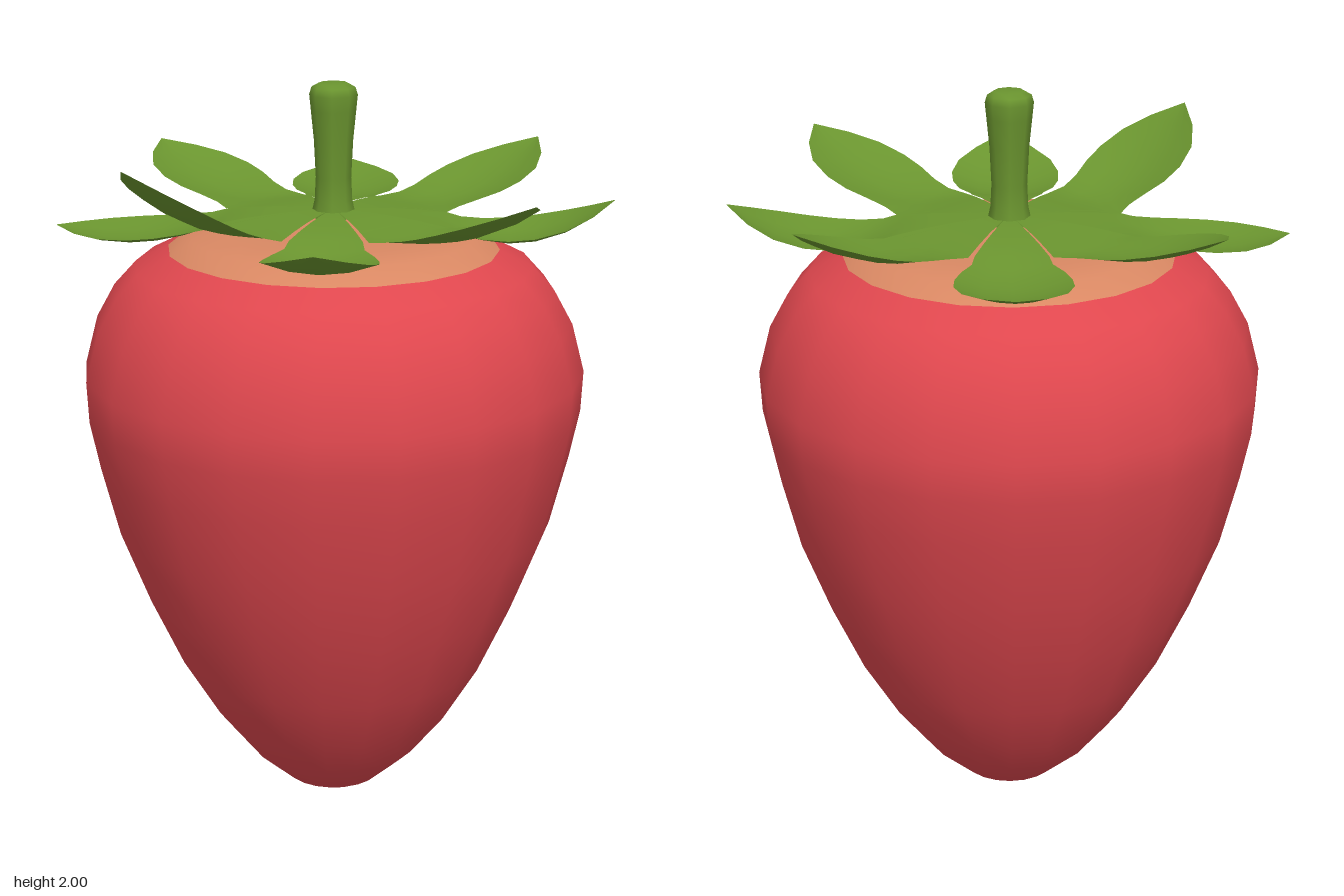
import * as THREE from 'three';

const paint = (name, color, extra = {}) => {
  const m = new THREE.MeshStandardMaterial({ color, ...extra });
  m.name = name;
  return m;
};

// Round part from a [radius, height] profile, listed bottom to top
function turned(name, profile, sides, material) {
  const points = profile.map(([r, y]) => new THREE.Vector2(r, y));
  const mesh = new THREE.Mesh(new THREE.LatheGeometry(points, sides), material);
  mesh.name = name;
  return mesh;
}

// Leaf outline: fraction along the free part, then half width
const OUTLINE = [[0, 0], [0.12, 0.11], [0.25, 0.13], [0.4, 0.147], [0.55, 0.15], [0.72, 0.13], [0.87, 0.078], [1, 0]];
const ROOT = 0.28;

// One sepal: a wedge from the stem that widens into a curled, cupped leaf
function sepalGeometry({ angle, length, mid, tip, base }) {
  const rows = [0, 0.25, 0.5, 0.75].map(k => {
    const u = ROOT * k;
    return { u, w: base * k, y: 1.665 - 0.025 * k * k, cup: 0 };
  });
  for (const [t, width] of OUTLINE) {
    const w = t === 0 ? base : t < 0.2 ? (base + width) / 2 : width;
    // quadratic through root, middle and tip heights
    const y = 1.64 * (1 - t) * (1 - 2 * t) + mid * 4 * t * (1 - t) + tip * t * (2 * t - 1);
    rows.push({ u: ROOT + t * (length - ROOT), w, y, cup: 0.03 * Math.sin(Math.PI * t) });
  }
  const a = THREE.MathUtils.degToRad(angle), c = Math.cos(a), s = Math.sin(a);
  const position = [], index = [], n = 5;
  rows.forEach(({ u, w, y, cup }, i) => {
    for (let j = 0; j < n; j++) {
      const k = j / (n - 1) * 2 - 1, v = w * k;
      position.push(u * c - v * s, y + cup * k * k, u * s + v * c);
      if (i && j) {
        const p = (i - 1) * n + j - 1, q = p + n;
        index.push(p, p + 1, q, p + 1, q + 1, q);
      }
    }
  });
  const g = new THREE.BufferGeometry();
  g.setAttribute('position', new THREE.Float32BufferAttribute(position, 3));
  g.setIndex(index);
  g.computeVertexNormals();
  return g;
}

export function createModel() {
  const group = new THREE.Group();
  group.name = 'strawberry';
  const red = paint('fruitRed', 0xdf474e);
  const pale = paint('paleShoulder', 0xd98863);
  const green = paint('leafGreen', 0x6a942f, { side: THREE.DoubleSide });

  // Fruit and its pale top
  const body = turned('fruitBody', [
    [0, 0], [0.06, 0.012], [0.13, 0.045], [0.235, 0.135], [0.33, 0.25], [0.43, 0.41],
    [0.52, 0.6], [0.6, 0.8], [0.65, 0.99], [0.678, 1.12], [0.684, 1.23], [0.65, 1.36],
    [0.6, 1.45], [0.54, 1.515], [0.45, 1.56]], 20, red);
  const shoulder = turned('paleShoulder', [
    [0.45, 1.56], [0.39, 1.597], [0.28, 1.61], [0, 1.6]], 20, pale);
  body.scale.x = shoulder.scale.x = 0.985;

  // Stem
  const stem = turned('stem', [
    [0.06, 1.645], [0.05, 1.69], [0.047, 1.75], [0.052, 1.85], [0.06, 1.93],
    [0.064, 1.97], [0.058, 1.99], [0.04, 2], [0, 2]], 8, green);
  group.add(body, shoulder, stem);

  // Ring of eight sepals, angles from left (+x) towards the front (+z)
  const calyx = new THREE.Group();
  calyx.name = 'calyx';
  [
    { angle: 0, length: 0.745, mid: 1.59, tip: 1.7, base: 0.113 },
    { angle: 43, length: 0.73, mid: 1.665, tip: 1.785, base: 0.137 },
    { angle: 90, length: 0.705, mid: 1.605, tip: 1.7, base: 0.095 },
    { angle: 137.5, length: 0.675, mid: 1.69, tip: 1.85, base: 0.137 },
    { angle: 180, length: 0.745, mid: 1.575, tip: 1.61, base: 0.113 },
    { angle: 224, length: 0.73, mid: 1.655, tip: 1.75, base: 0.137 },
    { angle: 270, length: 0.705, mid: 1.605, tip: 1.66, base: 0.095 },
    { angle: 317, length: 0.74, mid: 1.655, tip: 1.77, base: 0.137 },
  ].forEach((spec, i) => {
    const sepal = new THREE.Mesh(sepalGeometry(spec), green);
    sepal.name = `sepal${i + 1}`;
    calyx.add(sepal);
  });
  group.add(calyx);
  return group;
}
